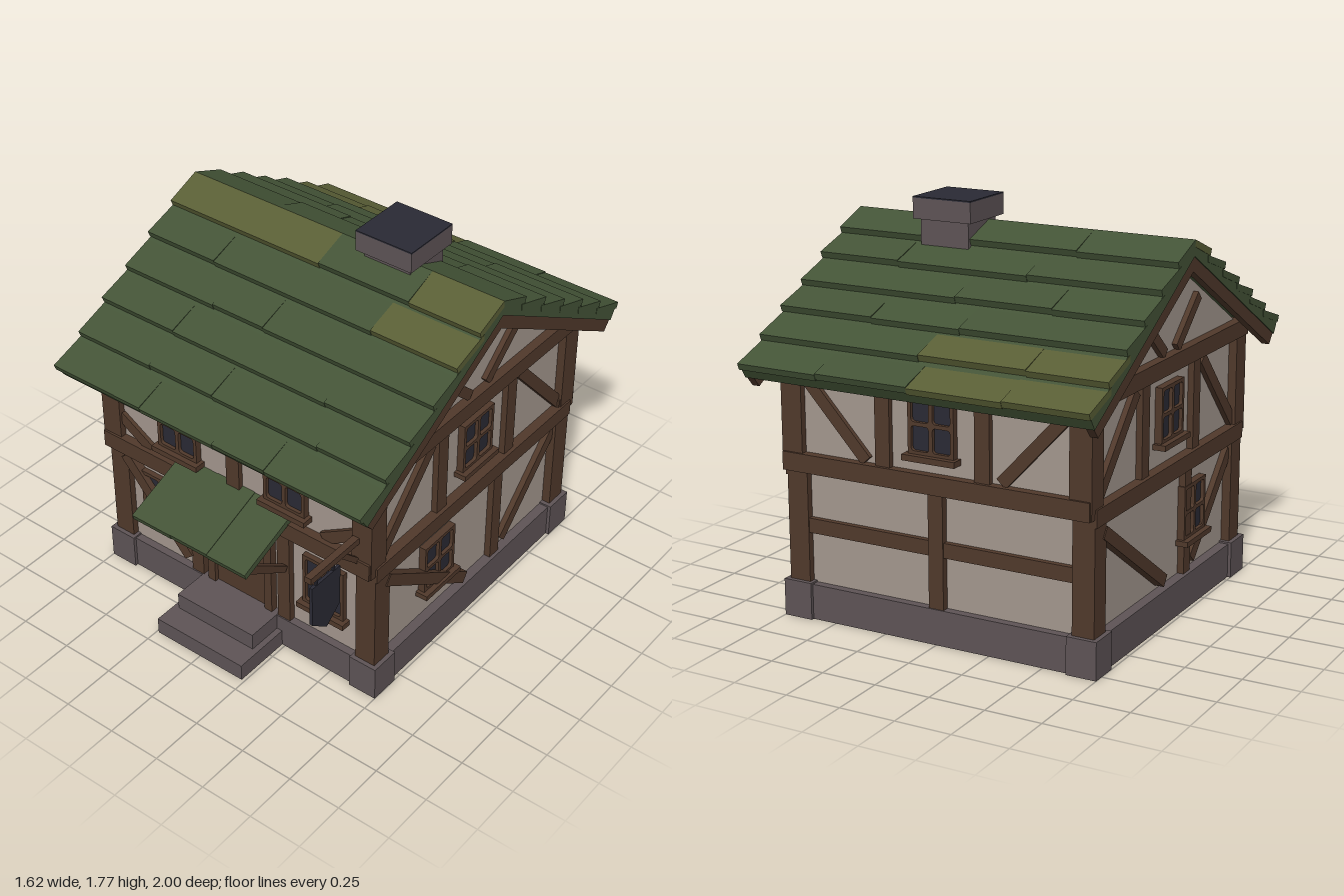
import * as THREE from 'three';

const mat = (name, color) => {
  const m = new THREE.MeshStandardMaterial({ color });
  m.name = name;
  return m;
};

export function createModel() {
  const plaster = mat('plaster', 0xa4978e), wood = mat('wood', 0x50392b);
  const stone = mat('stone', 0x5e5456), moss = mat('green shingle', 0x445437);
  const olive = mat('olive shingle', 0x5a5f36), dark = mat('dark glass', 0x2a2a34);
  stone.side = THREE.DoubleSide; // the footing is open underneath
  const house = new THREE.Group();
  house.name = 'house';
  const ZC = -0.06; // z of the ridge

  const group = (name, parent = house) => {
    const g = new THREE.Group();
    g.name = name;
    parent.add(g);
    return g;
  };
  const add = (parent, name, geo, m) => {
    const mesh = new THREE.Mesh(geo, m);
    mesh.name = name;
    parent.add(mesh);
    return mesh;
  };
  // box given by its limits
  const block = (parent, name, m, x0, x1, y0, y1, z0, z1) => {
    const b = add(parent, name, new THREE.BoxGeometry(x1 - x0, y1 - y0, z1 - z0), m);
    b.position.set((x0 + x1) / 2, (y0 + y1) / 2, (z0 + z1) / 2);
    return b;
  };
  // stone box standing on the ground, without its bottom face
  const openBlock = (parent, name, x0, x1, y1, z0, z1) => {
    const geo = block(parent, name, stone, x0, x1, 0, y1, z0, z1).geometry;
    const index = Array.from(geo.index.array);
    index.splice(18, 6);
    geo.setIndex(index);
    geo.clearGroups();
  };
  // straight timber between two points of a wall, from depth z0 to z1
  const bar = (parent, name, x0, y0, x1, y1, w, z0, z1) => {
    const len = Math.hypot(x1 - x0, y1 - y0);
    const b = add(parent, name, new THREE.BoxGeometry(len, w, z1 - z0), wood);
    b.position.set((x0 + x1) / 2, (y0 + y1) / 2, (z0 + z1) / 2);
    b.rotation.z = Math.atan2(y1 - y0, x1 - x0);
  };
  // profile in the z-y plane, extruded along x
  const profile = (parent, name, m, pts, x0, x1) => {
    const shape = new THREE.Shape(pts.map(p => new THREE.Vector2(p[0], p[1])));
    const geo = new THREE.ExtrudeGeometry(shape, { depth: x1 - x0, bevelEnabled: false });
    geo.rotateY(-Math.PI / 2).translate(x1, 0, 0);
    return add(parent, name, geo, m);
  };

  // window: frame with four rounded panes, glass plate and sill
  const rounded = (x, y, w, h, r) => {
    const p = new THREE.Path();
    p.moveTo(x + r, y).lineTo(x + w - r, y).quadraticCurveTo(x + w, y, x + w, y + r);
    p.lineTo(x + w, y + h - r).quadraticCurveTo(x + w, y + h, x + w - r, y + h);
    p.lineTo(x + r, y + h).quadraticCurveTo(x, y + h, x, y + h - r);
    p.lineTo(x, y + r).quadraticCurveTo(x, y, x + r, y);
    return p;
  };
  const frameShape = new THREE.Shape([[-0.108, 0], [0.108, 0], [0.108, 0.262], [-0.108, 0.262]]
    .map(p => new THREE.Vector2(...p)));
  for (const x of [-0.092, 0.009]) for (const y of [0.018, 0.14])
    frameShape.holes.push(rounded(x, y, 0.083, 0.105, 0.015));
  const frameGeo = new THREE.ExtrudeGeometry(frameShape, { depth: 0.035, bevelEnabled: false, curveSegments: 4 });
  const windowAt = (wall, x, y, z, stretch = 1) => {
    const g = group('window', wall);
    g.position.set(x, y, z);
    g.scale.y = stretch;
    add(g, 'windowFrame', frameGeo, wood);
    block(g, 'windowGlass', dark, -0.1, 0.1, 0.01, 0.25, 0.01, 0.019);
    block(g, 'windowSill', wood, -0.125, 0.125, -0.022, 0.004, 0, 0.06);
  };

  // stone footing and steps
  const base = group('footing');
  openBlock(base, 'plinth', -0.735, 0.735, 0.157, -0.785, 0.665);
  for (const s of [-1, 1]) for (const z of [-0.8, 0.54])
    openBlock(base, 'cornerStone', s * 0.682 - 0.068, s * 0.682 + 0.068, 0.165, z, z + 0.14);
  openBlock(base, 'upperStep', -0.215, 0.207, 0.16, 0.6, 0.83);
  openBlock(base, 'lowerStep', -0.24, 0.235, 0.08, 0.6, 0.94);

  // plaster walls
  block(house, 'lowerWalls', plaster, -0.69, 0.69, 0.158, 0.69, -0.75, 0.63);
  profile(house, 'upperWalls', plaster, [[ZC - 0.72, 0.68], [ZC + 0.72, 0.68], [ZC + 0.72, 1.16],
    [ZC, 1.575], [ZC - 0.72, 1.16]], -0.692, 0.692);

  // corner posts
  for (const s of [-1, 1]) for (const f of [-1, 1]) {
    const x = s * 0.68;
    const lz = ZC + f * 0.67, uz = ZC + f * 0.7;
    block(house, 'lowerCornerPost', wood, x - 0.05, x + 0.05, 0.165, 0.7, lz - 0.05, lz + 0.05);
    block(house, 'upperCornerPost', wood, x - 0.05, x + 0.05, 0.665, 1.15, uz - 0.05, uz + 0.05);
  }

  // front wall timbers, windows and door
  const front = group('frontWall');
  block(front, 'middleBeam', wood, -0.725, 0.725, 0.664, 0.745, 0.6, 0.7);
  block(front, 'topBeam', wood, -0.725, 0.725, 1.1, 1.165, 0.6, 0.69);
  block(front, 'middlePost', wood, -0.037, 0.033, 0.74, 1.11, 0.64, 0.683);
  for (const s of [-1, 1]) {
    block(front, 'doorPost', wood, s * 0.244 - 0.033, s * 0.244 + 0.033, 0.158, 0.67, 0.6, 0.66);
    bar(front, 'upperBrace', s * 0.64, 0.85, s * 0.47, 0.745, 0.055, 0.64, 0.678);
    windowAt(front, s * 0.452, 0.312, 0.62);
    windowAt(front, s * 0.29 - 0.012, 0.81, 0.655);
  }
  bar(front, 'lowerBrace', -0.64, 0.625, -0.29, 0.22, 0.058, 0.62, 0.668);
  const door = group('door');
  for (const s of [-1, 1])
    block(door, 'doorJamb', wood, s * 0.16 - 0.02, s * 0.16 + 0.02, 0.158, 0.665, 0.6, 0.665);
  block(door, 'doorLintel', wood, -0.18, 0.18, 0.625, 0.665, 0.6, 0.665);
  block(door, 'doorLeaf', wood, -0.142, 0.142, 0.158, 0.63, 0.6, 0.645);
  block(door, 'doorHandle', dark, 0.064, 0.088, 0.36, 0.395, 0.64, 0.66);

  // canopy over the door
  const canopy = group('doorCanopy');
  [[-0.31, -0.1, 0], [-0.1, 0.1, 0.003], [0.1, 0.305, 0]].forEach(([x0, x1, lift]) =>
    profile(canopy, 'canopyPlank', moss, [[0.65, 0.758 + lift], [0.968, 0.634 + lift],
      [0.978, 0.662 + lift], [0.66, 0.786 + lift]], x0, x1));
  for (const x of [-0.265, 0.255])
    profile(canopy, 'canopyBracket', wood, [[0.66, 0.47], [0.675, 0.445], [0.925, 0.61], [0.925, 0.645], [0.905, 0.645]],
      x - 0.014, x + 0.014);

  // gable walls: the timbers are turned half round, the lower window keeps to the front
  for (const s of [-1, 1]) {
    const side = group(s > 0 ? 'leftWall' : 'rightWall');
    side.rotation.y = s * Math.PI / 2;
    side.position.z = ZC;
    // v is the distance along the wall from its middle
    const timber = (name, v0, y0, v1, y1, w, d) => bar(side, name, v0, y0, v1, y1, w, 0.66, d);
    timber('middleBeam', -0.72, 0.668, 0.72, 0.668, 0.075, 0.738);
    timber('topBeam', -0.76, 1.138, 0.76, 1.138, 0.075, 0.735);
    timber('lowerPost', 0.182, 0.158, 0.182, 0.65, 0.065, 0.72);
    timber('lowerLongBrace', -0.635, 0.59, -0.065, 0.2, 0.055, 0.735);
    timber('lowerShortBrace', 0.245, 0.2, 0.63, 0.59, 0.055, 0.716);
    for (const m of [-1, 1]) {
      timber('upperPost', m * 0.25, 0.69, m * 0.25, 1.11, 0.068, 0.72);
      timber('upperBrace', m * 0.66, 0.72, m * 0.32, 1.085, 0.055, 0.716);
      timber('gableBrace', m * 0.27, 1.37, m * 0.06, 1.185, 0.048, 0.716);
    }
    windowAt(side, 0, 0.808, 0.69, 0.93);
    windowAt(side, -s * 0.25, 0.31, 0.688, 0.93);
  }

  // back wall
  const back = group('backWall');
  back.rotation.y = Math.PI;
  block(back, 'middleBeam', wood, -0.725, 0.725, 0.664, 0.745, 0.7, 0.82);
  block(back, 'topBeam', wood, -0.725, 0.725, 1.1, 1.165, 0.7, 0.81);
  block(back, 'lowerRail', wood, -0.66, 0.66, 0.385, 0.45, 0.73, 0.775);
  block(back, 'lowerPost', wood, -0.035, 0.035, 0.158, 0.68, 0.73, 0.782);
  windowAt(back, 0, 0.82, 0.775);
  for (const s of [-1, 1]) {
    block(back, 'upperPost', wood, s * 0.235 - 0.035, s * 0.235 + 0.035, 0.74, 1.11, 0.76, 0.805);
    bar(back, 'upperBrace', s * 0.62, 1.08, s * 0.32, 0.755, 0.055, 0.76, 0.8);
  }

  // roof: deck, gable boards and six overlapping rows of planks on each slope
  const roof = group('roof');
  const slope = 0.575;
  const chevron = (name, m, top, bottom, d0, d1, x0, x1) => profile(roof, name, m, [
    [ZC - d1, top - slope * d1], [ZC - d0, bottom - slope * d0], [ZC, bottom],
    [ZC + d0, bottom - slope * d0], [ZC + d1, top - slope * d1], [ZC, top]], x0, x1);
  chevron('roofDeck', moss, 1.657, 1.592, 0.885, 0.915, -0.808, 0.808);
  for (const x of [-0.803, 0.768]) chevron('gableBoard', wood, 1.615, 1.527, 0.845, 0.895, x, x + 0.035);
  const frontRows = [[0, 0.46], [-0.44, 0.385], [-0.32, -0.05], [-0.41, 0.39], [-0.41, -0.07, 0.47], [-0.33, 0.06, 0.33]];
  const backRows = [[-0.35, 0.2], [-0.2, 0.42], [-0.4, 0.05], [-0.06, 0.36], [-0.45, 0.04], [-0.43, 0, 0.43]];
  const plankRows = (f, rows, isOlive) => rows.forEach((cuts, i) => {
    const xs = [-0.81, ...cuts, 0.81];
    for (let k = 0; k + 1 < xs.length; k++) {
      const d = 0.165 + 0.153 * i + (i === 5 ? 0.005 : 0), jog = ((k + i) % 2) * 0.005;
      const y = 1.69 - slope * d + jog, e = Math.max(0, d - 0.185);
      let pts = [[e, y + 0.066 - jog], [e, y + 0.036 - jog], [d - 0.011, y - 0.028], [d, y]];
      pts = pts.map(([a, b]) => [ZC + f * a, b]);
      // keep the outline counter-clockwise on both slopes
      if (f < 0) pts.reverse();
      profile(roof, 'roofPlank', isOlive(i, xs[k]) ? olive : moss, pts, xs[k], xs[k + 1]);
    }
  });
  plankRows(1, frontRows, (i, x) => (i === 0 && (x < -0.5 || x > 0.4)) || (i === 1 && x > 0.3));
  plankRows(-1, backRows, (i, x) => i >= 4 && x < -0.01);

  // chimney
  const chimney = group('chimney');
  block(chimney, 'chimneyShaft', stone, 0.155, 0.388, 1.4, 1.68, -0.235, -0.005);
  block(chimney, 'chimneyCap', stone, 0.13, 0.412, 1.672, 1.762, -0.26, 0.022);
  block(chimney, 'chimneyTop', dark, 0.13, 0.412, 1.762, 1.768, -0.26, 0.022);

  // hanging sign on an arm at the front corner
  const sign = group('hangingSign');
  block(sign, 'signArm', wood, 0.636, 0.668, 0.83, 0.86, 0.68, 1);
  profile(sign, 'signArmBrace', wood, [[0.68, 0.745], [0.69, 0.72], [0.8, 0.825], [0.78, 0.84]], 0.64, 0.664);
  profile(sign, 'signBoard', dark, [[0.802, 0.595], [0.89, 0.522], [0.982, 0.595], [0.982, 0.79], [0.802, 0.79]],
    0.645, 0.659);
  for (const z of [0.84, 0.95]) block(sign, 'signHanger', dark, 0.647, 0.657, 0.78, 0.835, z - 0.006, z + 0.006);

  return house;
}
